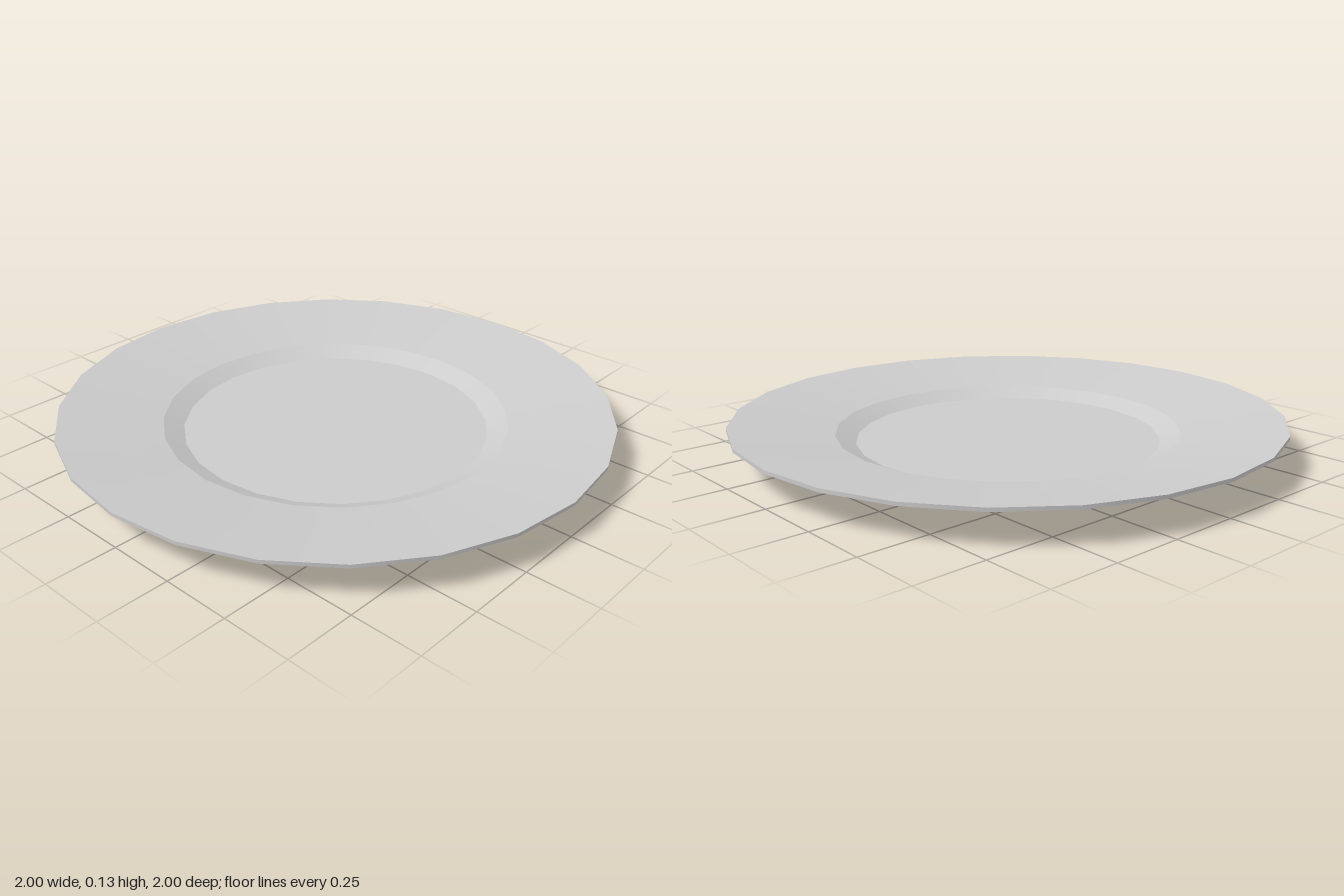
import * as THREE from 'three';
import { mergeGeometries } from 'three/addons/utils/BufferGeometryUtils.js';

const SIDES = 24;

// One lathe per profile segment: smooth around the plate, sharp between bands
function bands(profile) {
  const parts = [];
  for (let i = 0; i < profile.length - 1; i++) {
    const pair = [profile[i], profile[i + 1]].map(([r, y]) => new THREE.Vector2(r, y));
    parts.push(new THREE.LatheGeometry(pair, SIDES));
  }
  return mergeGeometries(parts);
}

export function createModel() {
  const group = new THREE.Group();
  group.name = 'plate';
  const material = new THREE.MeshStandardMaterial({ color: 0xcccccc });

  const add = (name, profile) => {
    const mesh = new THREE.Mesh(bands(profile), material);
    mesh.name = name;
    group.add(mesh);
  };

  // Recessed base, foot ring and sloping underside
  add('underside', [[0, 0.017], [0.555, 0.017], [0.59, 0], [0.63, 0.04], [1, 0.115]]);
  // Thin outer edge
  add('rimEdge', [[1, 0.115], [1, 0.128]]);
  // Broad rim, sloping well wall and flat centre
  add('topSurface', [[1, 0.128], [0.628, 0.075], [0.555, 0.041], [0, 0.041]]);

  return group;
}
